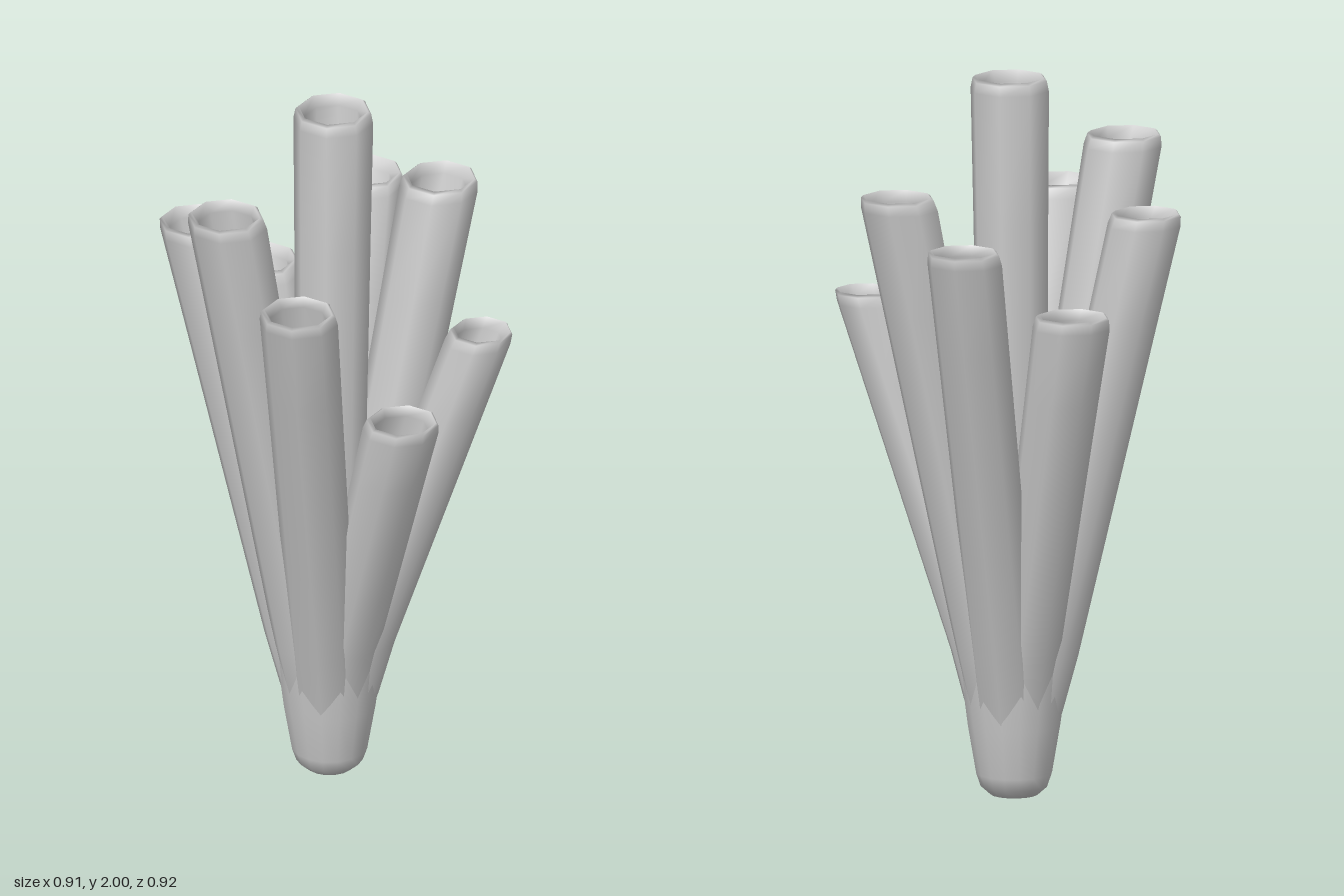
import * as THREE from 'three';

const SIDES = 8;

// Skin a stack of level rings [x, y, z, radius] with shared, smooth vertices
function loft(rings) {
  const pos = [], index = [];
  for (const [x, y, z, r] of rings) {
    for (let k = 0; k < SIDES; k++) {
      const a = (k / SIDES) * Math.PI * 2;
      pos.push(x + r * Math.cos(a), y, z + r * Math.sin(a));
    }
  }
  for (let i = 0; i < rings.length - 1; i++) {
    for (let k = 0; k < SIDES; k++) {
      const a = i * SIDES + k, b = i * SIDES + (k + 1) % SIDES;
      const c = a + SIDES, d = b + SIDES;
      index.push(a, c, b, b, c, d);
    }
  }
  const g = new THREE.BufferGeometry();
  g.setAttribute('position', new THREE.Float32BufferAttribute(pos, 3));
  g.setIndex(index);
  g.computeVertexNormals();
  return g;
}

// Leaning hollow tube: mouth centre (x, z), height h, mouth radius R
function tubeGeometry(x, z, h, R) {
  const d = Math.hypot(x, z);
  const bend = d > 0.1 ? (x * z !== 0 && Math.abs(Math.abs(x) - Math.abs(z)) < 0.1 ? 0.09 : 0.078) : 0;
  const bx = (x / d) * bend, bz = (z / d) * bend;
  const at = (y, r) => {
    if (y < 0.4) {
      const t = Math.max(0, (y - 0.05) / 0.35);
      return [bx * t, y, bz * t, r];
    }
    const t = (y - 0.4) / (h - 0.4);
    return [bx + (x - bx) * t, y, bz + (z - bz) * t, r];
  };
  const rings = [at(0.1, 0.08), at(0.25, 0.087), at(0.4, 0.09)];
  // outer wall, widening toward the mouth
  for (const t of [0.25, 0.5, 0.75]) {
    rings.push(at(0.4 + (h - 0.4) * t, 0.09 + (R - 0.09) * t));
  }
  // rounded rim, inner wall and floor
  rings.push(
    at(h - 0.035, R), at(h - 0.007, R * 0.95), at(h, R * 0.87), at(h - 0.03, R * 0.73),
    at(h - 0.2, R * 0.69), at(h - 0.26, R * 0.5), at(h - 0.28, 0)
  );
  return loft(rings);
}

export function createModel() {
  const group = new THREE.Group();
  const material = new THREE.MeshStandardMaterial({ color: 0xcccccc });
  const add = (name, geometry) => {
    const mesh = new THREE.Mesh(geometry, material);
    mesh.name = name;
    group.add(mesh);
  };

  // Shared rounded foot that fuses the tubes together
  const foot = [[0, 0], [0.065, 0.006], [0.092, 0.03], [0.104, 0.065], [0.127, 0.2],
    [0.15, 0.38], [0.165, 0.55], [0.15, 0.68], [0.09, 0.78], [0, 0.8]];
  add('foot', new THREE.LatheGeometry(foot.map(([r, y]) => new THREE.Vector2(r, y)), 16));

  // Tubes: name, mouth x, mouth z, height, mouth radius
  const tubes = [
    ['centreTube', -0.01, -0.02, 2.0, 0.11],
    ['frontTube', 0.018, 0.357, 1.8, 0.109],
    ['frontLeftTube', 0.315, 0.325, 1.62, 0.108],
    ['leftTube', 0.355, 0.005, 1.21, 0.104],
    ['backLeftTube', 0.308, -0.29, 1.38, 0.09],
    ['backTube', 0.008, -0.363, 1.7, 0.108],
    ['backRightTube', -0.295, -0.33, 1.6, 0.105],
    ['rightTube', -0.355, -0.022, 1.4, 0.108],
    ['frontRightTube', -0.264, 0.263, 1.64, 0.102],
  ];
  for (const [name, x, z, h, R] of tubes) add(name, tubeGeometry(x, z, h, R));

  return group;
}
